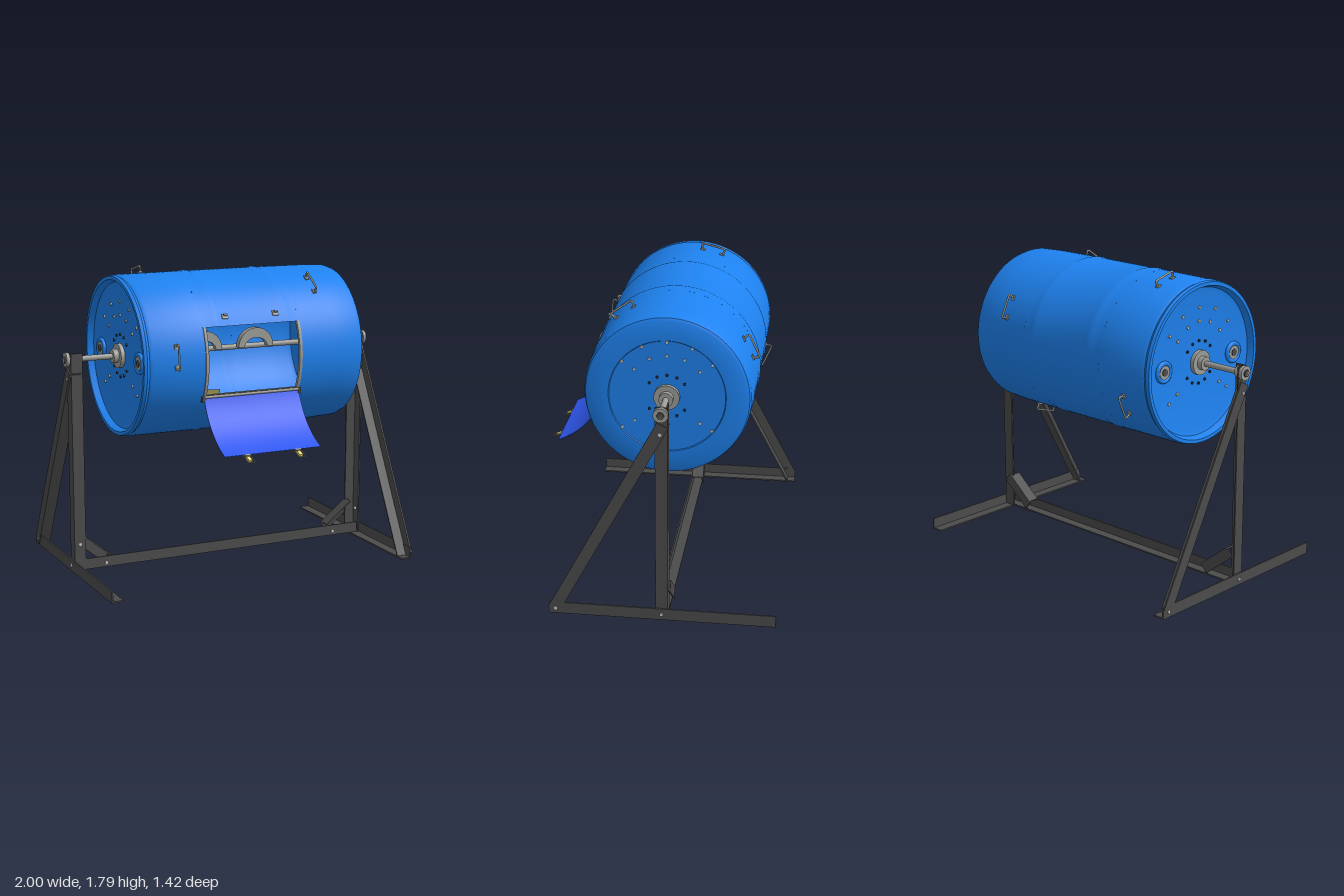
import * as THREE from 'three';
import { toCreasedNormals } from 'three/addons/utils/BufferGeometryUtils.js';

const AXIS_Y = 1.272, AXIS_Z = -0.046, R = 0.475;
const rad = THREE.MathUtils.degToRad;
const mat = (color, side = THREE.FrontSide) => new THREE.MeshStandardMaterial({ color, side });
const blue = mat(0x1e82f0, THREE.DoubleSide);
const doorBlue = mat(0x3058f0, THREE.DoubleSide);
const dark = mat(0x4c4c4c);
const metal = mat(0x9c9c98, THREE.DoubleSide);
const white = mat(0xe8e8e8);
const black = mat(0x222a38);
const yellow = mat(0xeee07a, THREE.DoubleSide);

function add(parent, name, geo, material, x = 0, y = 0, z = 0) {
  const m = new THREE.Mesh(geo, material);
  m.name = name;
  m.position.set(x, y, z);
  parent.add(m);
  return m;
}
function group(parent, name, x = 0, y = 0, z = 0) {
  const g = new THREE.Group();
  g.name = name;
  g.position.set(x, y, z);
  parent.add(g);
  return g;
}
const box = (w, h, d) => new THREE.BoxGeometry(w, h, d);
const rod = (r, len, n = 24) => new THREE.CylinderGeometry(r, r, len, n).rotateZ(Math.PI / 2);

// Surface turned about the x axis; pts are [radius, x], angles are elevations from +z
function turned(pts, a0 = 0, a1 = 360, seg = 96) {
  const g = new THREE.LatheGeometry(pts.map(p => new THREE.Vector2(...p)), seg, rad(-a1), rad(a1 - a0));
  return toCreasedNormals(g.rotateZ(-Math.PI / 2), rad(35));
}
// Thin curved plate following the drum
const plate = (r0, r1, x0, x1, a0, a1) =>
  turned([[r0, x0], [r1, x0], [r1, x1], [r0, x1], [r0, x0]], a0, a1, 24);

// Local frame on the drum wall: z points outward, y runs round the wall
function onDrum(parent, name, x, elev, r = R) {
  const e = rad(elev);
  const g = group(parent, name, x, r * Math.sin(e), r * Math.cos(e));
  g.rotation.x = -e;
  return g;
}
function tube(points, r, closed = false) {
  const path = new THREE.CatmullRomCurve3(points.map(p => new THREE.Vector3(...p)), closed, 'catmullrom', 0.2);
  return new THREE.TubeGeometry(path, 40, r, 8, closed);
}

// L-section bar along y: one flange faces x (outer), one faces z
function angleBar(parent, name, len, w = 0.07, zSide = -1) {
  const t = 0.009, g = group(parent, name);
  add(g, name + 'OuterFlange', box(t, len, w), dark, -t / 2);
  add(g, name + 'SideFlange', box(w, len, t), dark, -w / 2, 0, zSide * (w - t) / 2);
  return g;
}

// One end of the stand: base, post and one diagonal leg
function sideFrame(parent, name) {
  const f = group(parent, name, 0, 0, AXIS_Z);
  const base = angleBar(f, 'baseBar', 1.3, 0.07, 1);
  base.rotation.x = Math.PI / 2;
  base.position.set(0.976, 0.035, 0);
  const post = angleBar(f, 'post', 1.3);
  post.position.set(0.967, 0.658, 0);
  const dz = 0.615, dy = 1.15;
  const leg = angleBar(f, 'diagonalLeg', Math.hypot(dz, dy) + 0.04, 0.07, -1);
  leg.rotation.x = -Math.atan2(dz, dy);
  leg.position.set(0.979, 0.04 + dy / 2, dz / 2);
  for (const [y, z] of [[0.035, 0.61], [0.035, 0], [1.155, 0.005]])
    add(f, 'bolt', rod(0.01, 0.012, 12), white, 0.978, y, z);
  // Axle bearing and nut
  add(f, 'bearing', rod(0.042, 0.02), metal, 0.982, AXIS_Y, 0);
  add(f, 'innerCollar', rod(0.03, 0.03), metal, 0.945, AXIS_Y, 0);
  add(f, 'axleNut', rod(0.022, 0.02, 6), dark, 0.99, AXIS_Y, 0);
  return f;
}

function buildStand(root) {
  const stand = group(root, 'stand');
  sideFrame(stand, 'leftFrame');
  sideFrame(stand, 'rightFrame').rotation.y = Math.PI;
  add(stand, 'crossbarFace', box(1.9, 0.065, 0.009), dark, 0, 0.042, AXIS_Z + 0.03);
  add(stand, 'crossbarFoot', box(1.9, 0.009, 0.065), dark, 0, 0.014, AXIS_Z);
  for (const s of [-1, 1]) {
    const brace = group(stand, 'cornerBrace', s * 0.84, 0.125, AXIS_Z - 0.005);
    brace.rotation.z = s * rad(39);
    add(brace, 'braceFace', box(0.24, 0.065, 0.009), dark, 0, 0, -0.037);
    add(brace, 'braceTop', box(0.22, 0.009, 0.065), dark, 0, 0.028, 0);
    add(stand, 'braceBolt', rod(0.01, 0.01, 12).rotateY(Math.PI / 2), white, s * 0.935, 0.17, AXIS_Z + 0.037);
    add(stand, 'crossbarBolt', rod(0.009, 0.01, 12).rotateY(Math.PI / 2), white, s * 0.77, 0.037, AXIS_Z + 0.036);
  }
}

function buildEnds(drum) {
  for (const s of [-1, 1]) {
    const x = s > 0 ? 0.72 : -0.647;
    add(drum, 'hubFlange', rod(0.072, 0.024, 32), metal, x + s * 0.012);
    add(drum, 'hubCollar', rod(0.04, 0.05), metal, x + s * 0.03);
    const dots = (name, r, angles, m, size) => angles.forEach(a =>
      add(drum, name, rod(size, 0.008, 10), m, x + s * 0.002, r * Math.sin(rad(a)), r * Math.cos(rad(a))));
    dots('outerBolt', 0.318, [90, 64, 116, 38, 142, -38, -142], white, 0.009);
    dots('innerBolt', 0.238, [90, 66, 114, 40, 140, -40, -140], white, 0.009);
    dots('ventHole', 0.125, [38, 64, 90, 116, 142, -38, -64, -90, -116, -142], black, 0.008);
  }
  // Threaded plugs in the recessed end
  for (const s of [-1, 1]) {
    add(drum, 'plugRing', new THREE.TorusGeometry(0.052, 0.013, 10, 32).rotateY(Math.PI / 2), blue, -0.652, 0, s * 0.3);
    add(drum, 'plug', rod(0.04, 0.02), metal, -0.65, 0, s * 0.3);
    add(drum, 'plugSocket', rod(0.022, 0.008, 8), dark, -0.66, 0, s * 0.3);
  }
}

function buildDrum(root) {
  const drum = group(root, 'drum', 0, AXIS_Y, AXIS_Z);
  const x0 = -0.315, x1 = 0.3;
  // Wall in three runs, leaving the hatch opening in the middle one
  add(drum, 'recessedEnd', turned([[0, -0.645], [0.4, -0.645], [0.43, -0.652], [0.445, -0.69], [0.466, -0.69],
    [0.472, -0.672], [0.464, -0.655], [0.474, -0.635], [R, x0]]), blue);
  add(drum, 'middleWall', turned([[R, x0], [R, -0.24], [0.479, -0.222], [R, -0.204], [R, 0.21], [0.479, 0.228],
    [R, 0.246], [R, x1]], 25, 335), blue);
  add(drum, 'closedEnd', turned([[R, x1], [0.473, 0.55], [0.467, 0.69], [0.458, 0.715], [0.44, 0.725], [0.329, 0.725],
    [0.325, 0.719], [0, 0.719]]), blue);
  buildEnds(drum);
  add(drum, 'axle', rod(0.017, 2), metal);

  // Hatch surround and hinge
  for (const x of [x0, x1 - 0.015])
    add(drum, 'hatchEdge', plate(0.462, 0.481, x, x + 0.018, -25, 25), metal);
  add(drum, 'hingeLeaf', plate(0.472, 0.48, x0, x1, -26, -23), metal);
  const hy = -R * Math.sin(rad(25)), hz = R * Math.cos(rad(25));
  add(drum, 'hingePin', rod(0.009, 0.63, 12), metal, -0.005, hy, hz + 0.006);
  for (const x of [-0.315, 0.305]) add(drum, 'hingeBracket', box(0.018, 0.035, 0.03), dark, x, hy - 0.01, hz);

  // Open door swung down on the hinge
  const door = group(drum, 'door', 0, hy, hz);
  door.rotation.x = rad(136.5);
  const closed = group(door, 'doorParts', 0, -hy, -hz);
  add(closed, 'doorPanel', plate(0.472, 0.477, -0.31, 0.303, -25, 25), doorBlue);
  for (const x of [-0.165, 0.158]) {
    const latch = onDrum(closed, 'latch', x, 24);
    add(latch, 'latchPlate', box(0.036, 0.055, 0.008), metal, 0, -0.01, 0.004);
    add(latch, 'latchLever', box(0.022, 0.07, 0.014), yellow, 0, 0.02, 0.014);
    add(latch, 'latchLoop', tube([[-0.02, 0, 0.012], [-0.02, 0.07, 0.012], [0.02, 0.07, 0.012], [0.02, 0, 0.012]], 0.003, true), metal);
    const hook = onDrum(drum, 'latchCatch', x, 32);
    add(hook, 'catchPlate', box(0.036, 0.03, 0.008), metal, 0, 0, 0.004);
    add(hook, 'catchHook', box(0.02, 0.01, 0.018), metal, 0, 0.006, 0.012);
  }

  // Grab handles staggered round the wall
  for (let k = 0; k < 6; k++) {
    const h = onDrum(drum, 'grabHandle', k % 2 ? 0.46 : -0.495, 6 + k * 49.5 - (k === 0 ? 0 : 0.5));
    add(h, 'handleWire', tube([[0, -0.06, -0.01], [0, -0.072, 0.028], [0, -0.06, 0.036], [0, 0.06, 0.036],
      [0, 0.072, 0.028], [0, 0.06, -0.01]], 0.006), metal);
    for (const s of [-1, 1]) add(h, 'handleFoot', box(0.022, 0.03, 0.008), metal, 0, s * 0.06, 0);
  }

  // Mixing paddles inside: arched blades and a trough on the floor
  const arch = new THREE.Shape();
  arch.absarc(0, 0, 0.115, 0, Math.PI);
  arch.absellipse(0, 0, 0.075, 0.055, Math.PI, 0, true);
  const archGeo = new THREE.ExtrudeGeometry(arch, { depth: 0.04, bevelEnabled: false, curveSegments: 24 });
  for (const x of [-0.17, 0.17]) add(drum, 'archedBlade', archGeo, metal, x, 0.015, 0.1);
  const trough = add(drum, 'trough', new THREE.CylinderGeometry(0.06, 0.06, 0.4, 20, 1, true, Math.PI / 2, Math.PI)
    .rotateZ(Math.PI / 2), yellow, -0.2, -0.31, -0.05);
  trough.rotation.set(0, rad(-24), 0);
}

export function createModel() {
  const root = new THREE.Group();
  root.name = 'tumblingDrumOnStand';
  buildStand(root);
  buildDrum(root);
  return root;
}
